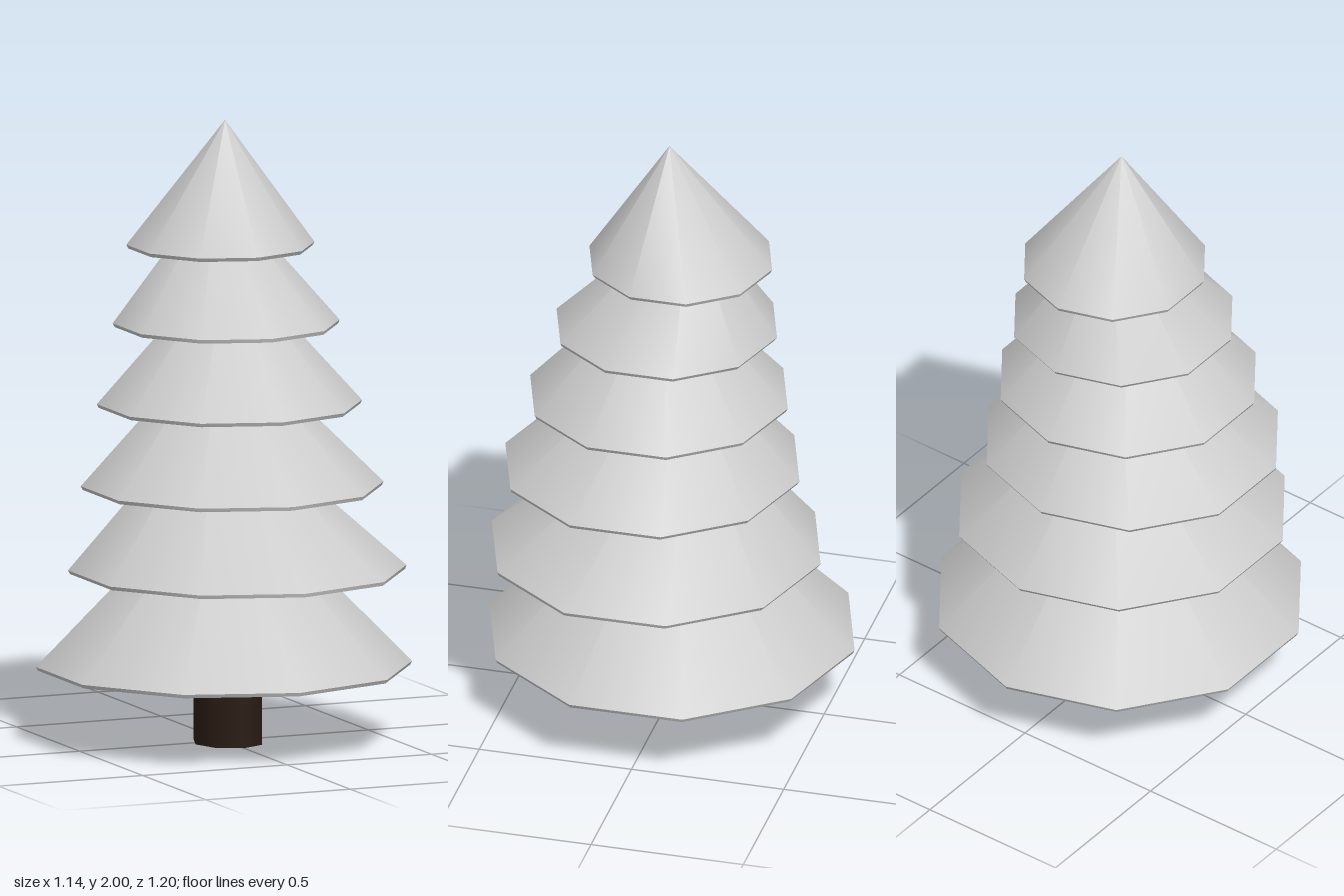
import * as THREE from 'three';
import { toCreasedNormals } from 'three/addons/utils/BufferGeometryUtils.js';

const SIDES = 10;

// Ten-sided cone with a thin rim and a shallow hollow underneath;
// its tip leans away from the rim centre
function tierGeometry(radius, height, leanX, leanZ) {
  const profile = [
    [0, radius * 0.5], [radius - 0.006, 0], [radius, 0.012], [0, height],
  ].map(([r, y]) => new THREE.Vector2(r, y));
  const geo = new THREE.LatheGeometry(profile, SIDES);
  const pos = geo.attributes.position;
  for (let i = 0; i < pos.count; i++) {
    const t = pos.getY(i) / height;
    pos.setX(i, pos.getX(i) + leanX * t);
    pos.setZ(i, pos.getZ(i) + leanZ * t);
  }
  return toCreasedNormals(geo, 1.0);
}

export function createModel() {
  const tree = new THREE.Group();
  tree.name = 'tree';
  const foliage = new THREE.MeshStandardMaterial({ color: 0xcccccc, side: THREE.DoubleSide });
  const bark = new THREE.MeshStandardMaterial({ color: 0x2a1b13 });

  // Branch tiers, bottom to top: radius, rim x, y, z, then tip x, y, z
  const tiers = [
    [0.60, 0, 0.235, 0, 0, 0.86, -0.01],
    [0.54, 0.027, 0.55, 0.047, -0.01, 1.09, -0.06],
    [0.483, 0, 0.825, 0.066, 0, 1.33, -0.01],
    [0.423, 0, 1.085, 0.043, 0, 1.57, 0.03],
    [0.362, 0, 1.34, 0.019, 0, 1.79, -0.06],
    [0.30, 0, 1.585, -0.03, 0, 2.0, 0.008],
  ];
  tiers.forEach(([r, x, y, z, tx, ty, tz], i) => {
    const tier = new THREE.Mesh(tierGeometry(r, ty - y, tx - x, tz - z), foliage);
    tier.name = `branchTier${i + 1}`;
    tier.position.set(x, y, z);
    tree.add(tier);
  });

  // Trunk, rising into the hollow of the lowest tier
  const trunkHeight = 0.47;
  const trunk = new THREE.Mesh(new THREE.CylinderGeometry(0.13, 0.128, trunkHeight, 8), bark);
  trunk.name = 'trunk';
  trunk.scale.x = 0.87;
  trunk.position.set(0, trunkHeight / 2, 0.03);
  tree.add(trunk);

  return tree;
}
